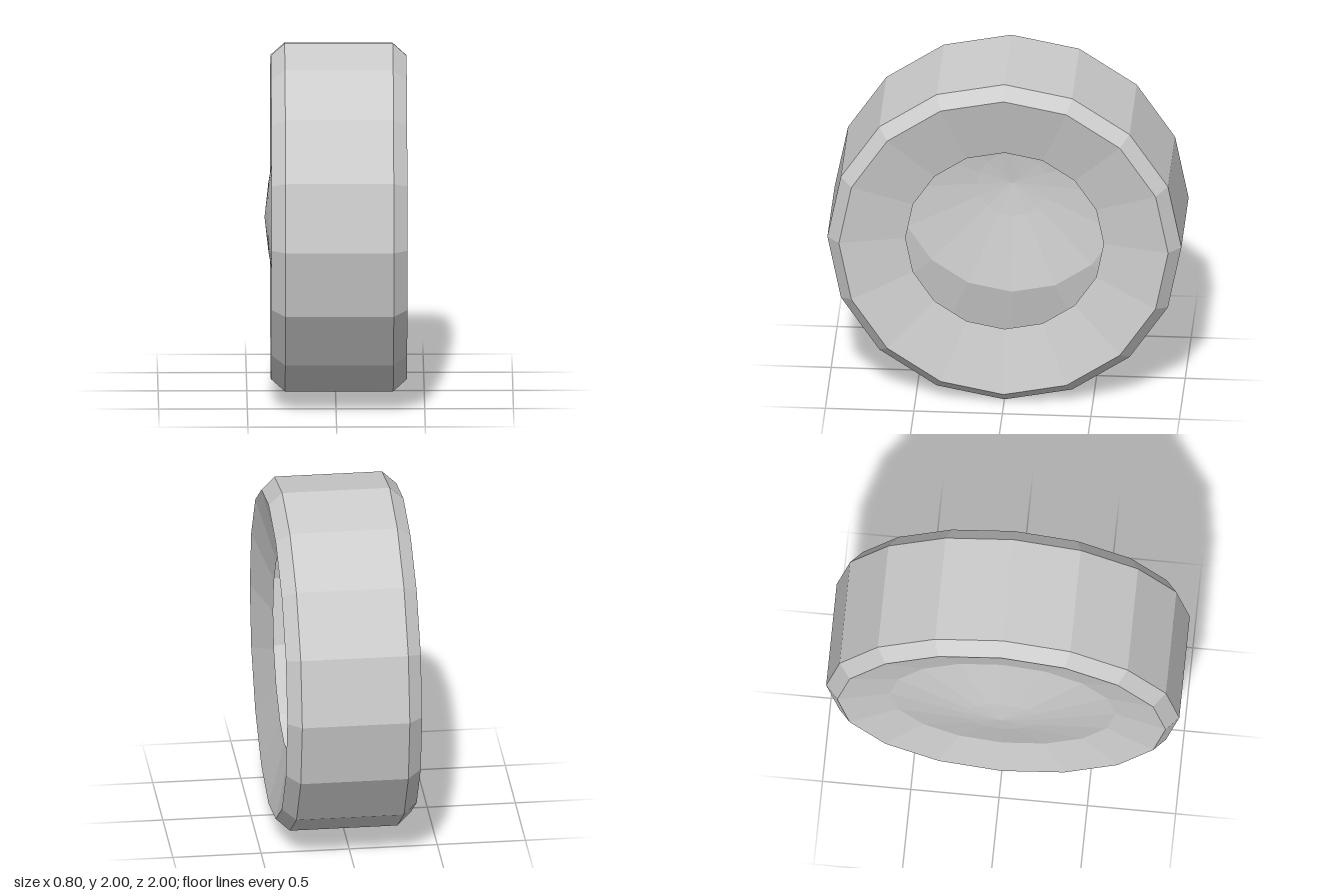
import * as THREE from 'three';

const SIDES = 16;

export function createModel() {
  const model = new THREE.Group();
  model.name = 'hollowWheel';

  const grey = new THREE.MeshStandardMaterial({
    color: 0xcccccc, flatShading: true, side: THREE.DoubleSide,
  });
  grey.name = 'plain grey';

  // Thin shell turned around the x axis; profile points are [radius, x]
  function turned(name, profile) {
    const points = profile.map(([r, x]) => new THREE.Vector2(r, x));
    const geometry = new THREE.LatheGeometry(points, SIDES);
    geometry.rotateZ(-Math.PI / 2);
    const mesh = new THREE.Mesh(geometry, grey);
    mesh.name = name;
    mesh.position.y = 1;
    model.add(mesh);
  }

  // Closed side: shallow dish with a low cone in the middle
  turned('hubCap', [[0, -0.4], [0.2, -0.378], [0.64, -0.3], [0.93, -0.365]]);
  // Chamfers and straight band around the outside
  turned('innerChamfer', [[0.93, -0.365], [1, -0.287]]);
  turned('tread', [[1, -0.287], [1, 0.323]]);
  turned('outerChamfer', [[1, 0.323], [0.93, 0.4]]);
  // Open side: dished ring around the hole into the hollow inside
  turned('openSidewall', [[0.93, 0.4], [0.56, 0.31]]);

  return model;
}
